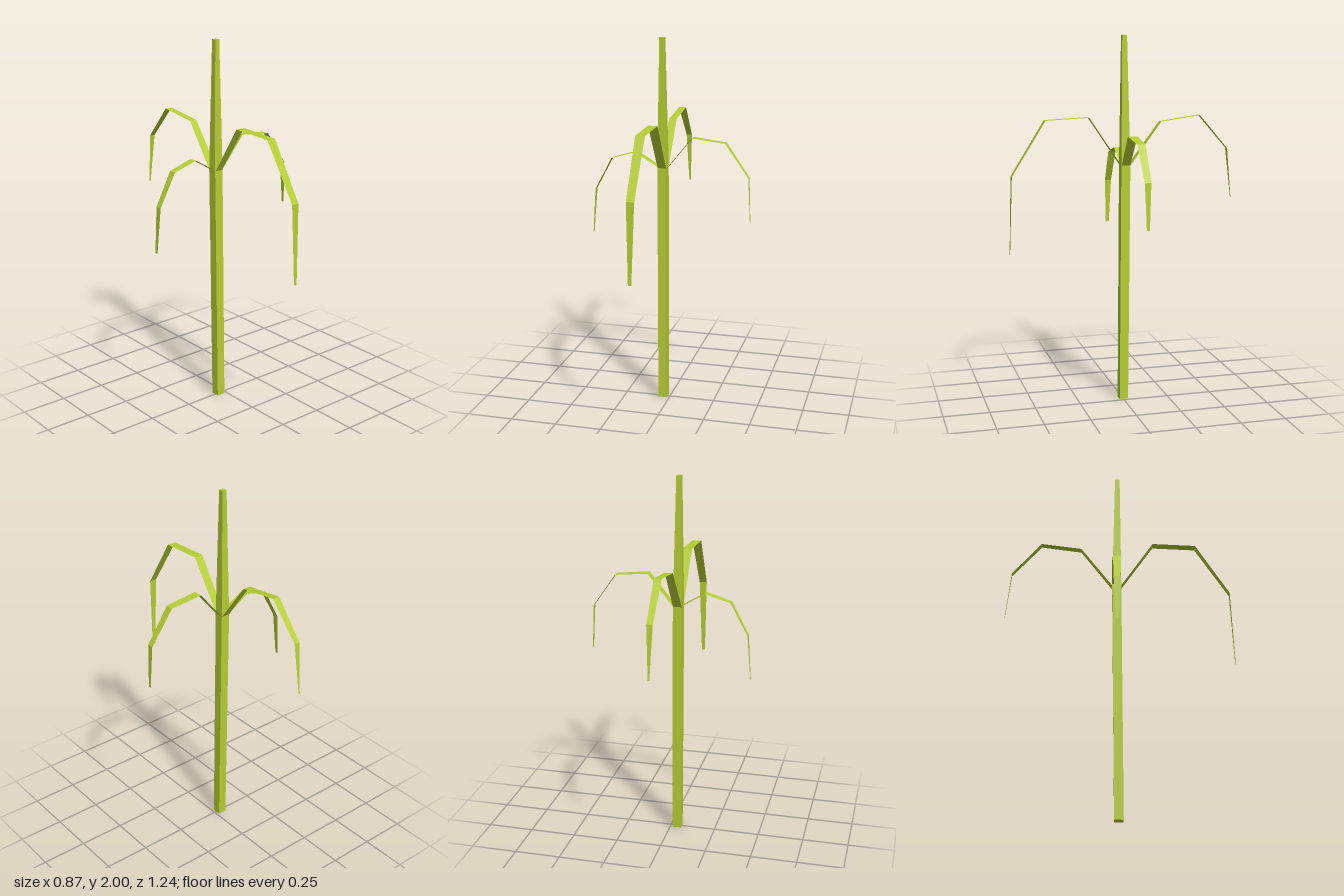
import * as THREE from 'three';

const material = new THREE.MeshStandardMaterial({ color: 0xb5cc33, flatShading: true, side: THREE.DoubleSide });

// Skin a list of equal-length cross-sections; optionally close the rings and cap them.
function skin(name, rings, closed) {
  const n = rings[0].length, index = [];
  for (let i = 0; i < rings.length - 1; i++) {
    for (let j = 0; j < (closed ? n : n - 1); j++) {
      const k = (j + 1) % n;
      const a = i * n + j, b = i * n + k, c = a + n, d = b + n;
      index.push(a, b, d, a, d, c);
    }
  }
  if (closed) {
    const t = (rings.length - 1) * n;
    index.push(0, 2, 1, 0, 3, 2, t, t + 1, t + 2, t, t + 2, t + 3);
  }
  const geometry = new THREE.BufferGeometry();
  geometry.setAttribute('position', new THREE.Float32BufferAttribute(rings.flat(2), 3));
  geometry.setIndex(index);
  const flat = geometry.toNonIndexed();
  flat.computeVertexNormals();
  const mesh = new THREE.Mesh(flat, material);
  mesh.name = name;
  return mesh;
}

// Square stalk section: height, centre x, centre z, half width.
const square = ([y, x, z, r]) => [
  [x - r, y, z + r], [x + r, y, z + r], [x + r, y, z - r], [x - r, y, z - r],
];

// Leaf section: distance along the axis, height, sideways centre, half width.
const leafSection = (axis) => ([d, y, c, w]) => axis === 'x'
  ? [[d, y, c + w], [d, y, c - w]]
  : [[c - w, y, d], [c + w, y, d]];

const leaves = [
  ['frontLeaf', 'z', [
    [0.01, 1.31, -0.042, 0.023], [0.185, 1.57, -0.043, 0.025], [0.42, 1.56, -0.043, 0.025],
    [0.602, 1.27, -0.043, 0.021], [0.617, 0.85, -0.045, 0.009]]],
  ['backLeaf', 'z', [
    [-0.04, 1.31, -0.042, 0.024], [-0.21, 1.54, -0.038, 0.021], [-0.43, 1.57, -0.038, 0.02],
    [-0.59, 1.385, -0.037, 0.016], [-0.62, 1.11, -0.038, 0.004]]],
  ['leftLeaf', 'x', [
    [-0.018, 1.31, -0.015, 0.024], [0.12, 1.48, -0.013, 0.026], [0.3, 1.46, -0.009, 0.022],
    [0.425, 1.28, -0.008, 0.017], [0.436, 1.04, -0.007, 0.008]]],
  ['rightLeaf', 'x', [
    [-0.065, 1.315, -0.017, 0.024], [-0.19, 1.39, -0.017, 0.024], [-0.325, 1.35, -0.017, 0.021],
    [-0.418, 1.175, -0.017, 0.018], [-0.437, 0.93, -0.017, 0.009]]],
];

export function createModel() {
  const model = new THREE.Group();
  model.name = 'stalkPlant';

  // Slightly leaning square stalk, tapering above the leaf joint
  const stalk = [[0, -0.037, -0.002, 0.024], [1.31, -0.042, -0.014, 0.025], [2, -0.044, -0.011, 0.013]];
  model.add(skin('stalk', stalk.map(square), true));

  // Four thin drooping leaves
  for (const [name, axis, sections] of leaves) {
    model.add(skin(name, sections.map(leafSection(axis)), false));
  }
  return model;
}
